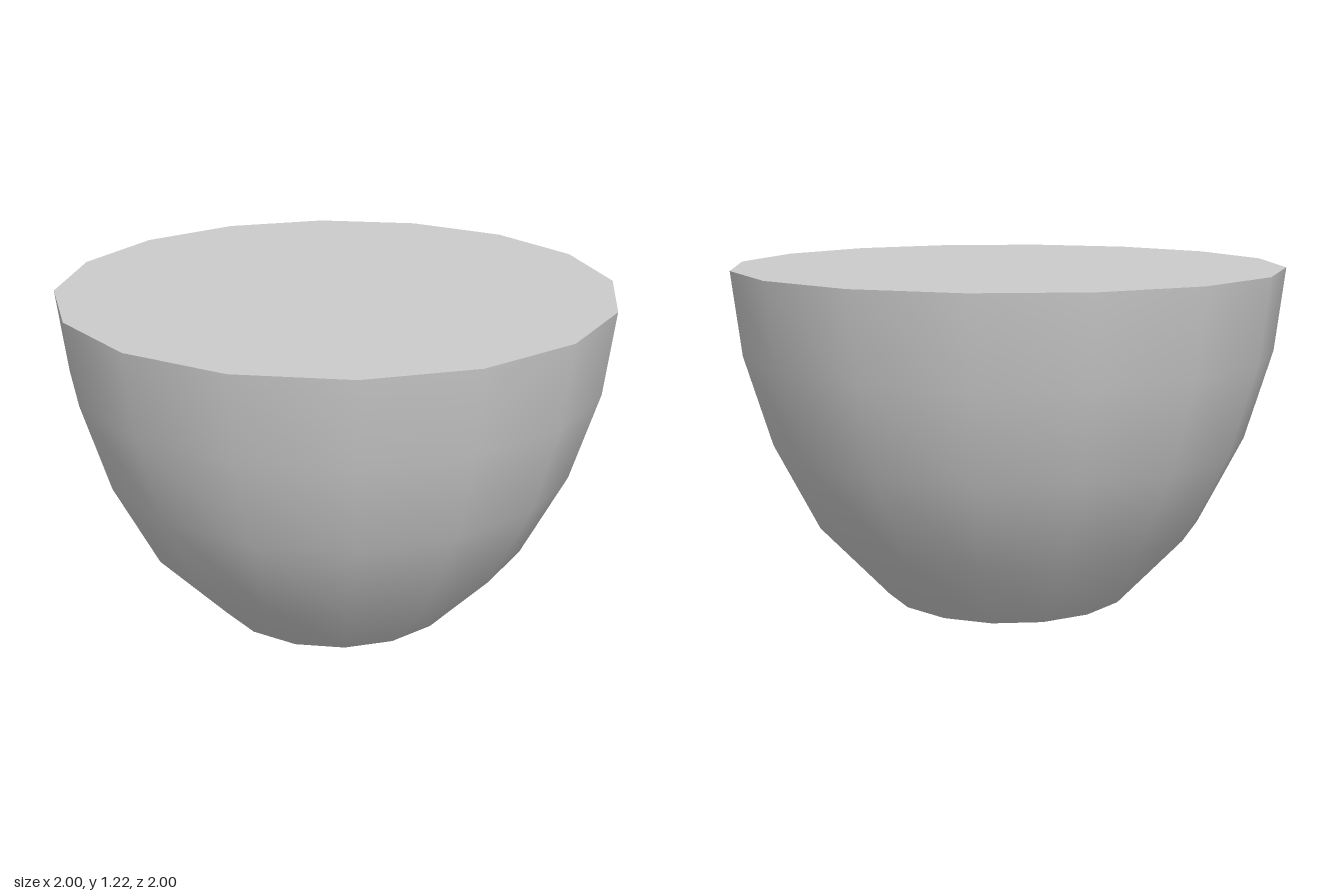
import * as THREE from 'three';

const SIDES = 16;
const PROFILE = [[0.46, 0], [0.71, 0.27], [0.87, 0.59], [0.966, 0.915], [1, 1.215]];

export function createModel() {
  const group = new THREE.Group();
  group.name = 'bowl';
  const material = new THREE.MeshStandardMaterial({ color: 0xcccccc });

  // Smooth curved wall, revolved from bottom to rim
  const points = PROFILE.map(([r, y]) => new THREE.Vector2(r, y));
  const wall = new THREE.Mesh(new THREE.LatheGeometry(points, SIDES), material);
  wall.name = 'wall';
  group.add(wall);

  // Flat discs closing the top and the base
  const addDisc = (name, [radius, y], tilt) => {
    const disc = new THREE.Mesh(new THREE.CircleGeometry(radius, SIDES), material);
    disc.name = name;
    disc.rotation.x = tilt;
    disc.position.y = y;
    group.add(disc);
  };
  addDisc('topSurface', PROFILE[PROFILE.length - 1], -Math.PI / 2);
  addDisc('base', PROFILE[0], Math.PI / 2);

  return group;
}
